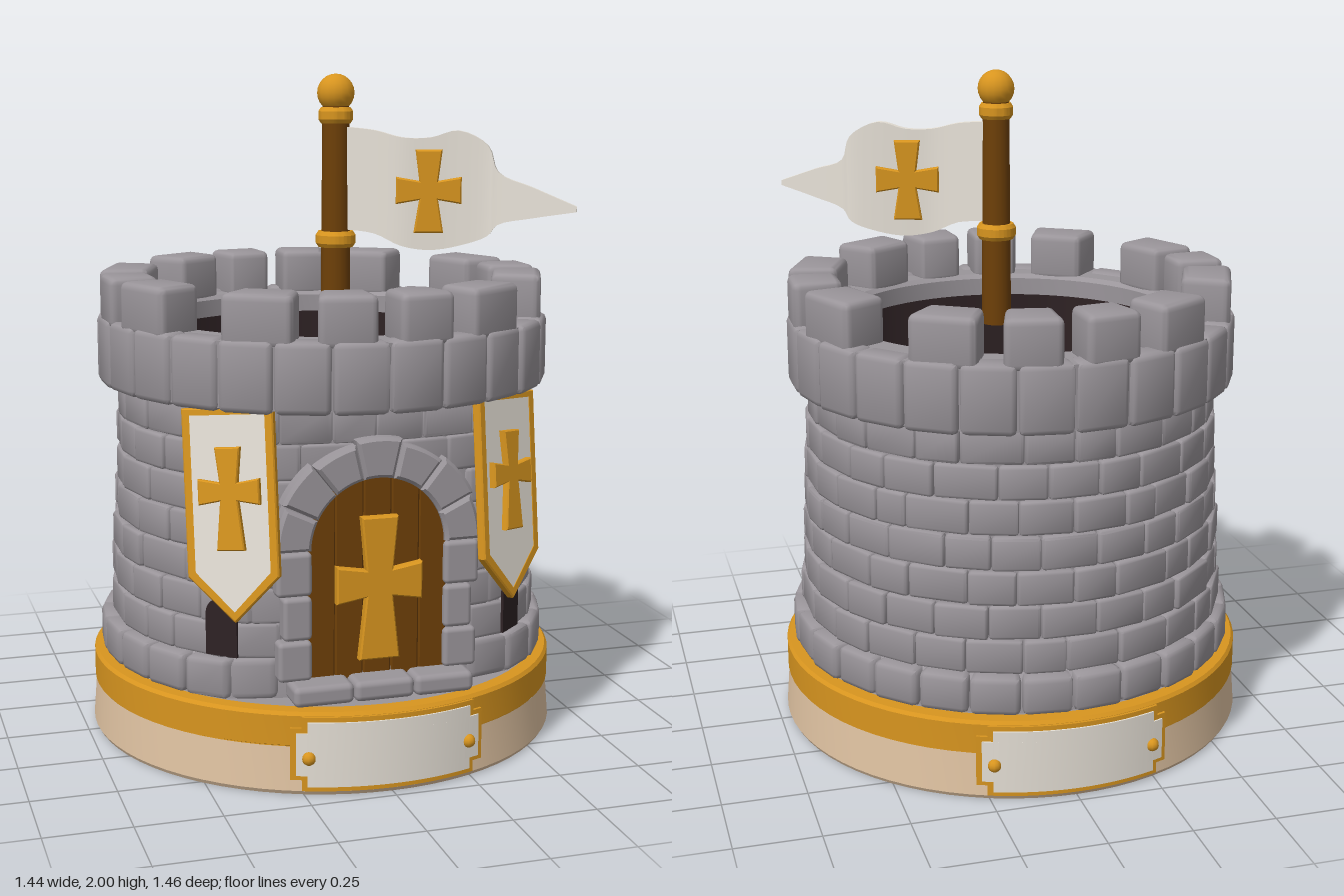
import * as THREE from 'three';
import { mergeGeometries, toCreasedNormals } from 'three/addons/utils/BufferGeometryUtils.js';
import { RoundedBoxGeometry } from 'three/addons/geometries/RoundedBoxGeometry.js';

const mat = (name, color, side = THREE.FrontSide) => {
  const m = new THREE.MeshStandardMaterial({ color, side });
  m.name = name;
  return m;
};
const V = (x, y, z) => new THREE.Vector3(x, y, z);

let seed = 7;
const rand = () => (seed = (seed * 16807) % 2147483647) / 2147483647;

// Apply a rule to every vertex
function warp(g, rule) {
  const p = g.attributes.position, v = V(0, 0, 0);
  for (let i = 0; i < p.count; i++) {
    rule(v.fromBufferAttribute(p, i));
    p.setXYZ(i, v.x, v.y, v.z);
  }
  return g;
}
// Wrap around the tower axis: local z = 0 lands on radius r, x runs along the arc
const bend = (g, r, a) => warp(g, v => {
  const t = a + v.x / r, R = r + v.z;
  v.set(Math.sin(t) * R, v.y, Math.cos(t) * R);
});
// Flatten the wall behind the doorway
const flatten = g => warp(g, v => { if (v.z > 0.5) v.z = 0.5 + (v.z - 0.5) * 0.4; });

// Rounded stone that follows the ring; r is its outer radius
function stone(w, y0, y1, d, r, a, round = 0.01, seg = 1) {
  const g = new RoundedBoxGeometry(w, y1 - y0, d, seg, round);
  g.deleteAttribute('uv');
  g.translate(0, (y0 + y1) / 2, -d / 2);
  return bend(g, r, a);
}
const soften = list => toCreasedNormals(mergeGeometries(list), 0.9);

const poly = points => new THREE.Shape(points.map(p => new THREE.Vector2(p[0], p[1])));
const slab = (shape, depth, bevel = 0.005) => new THREE.ExtrudeGeometry(shape, {
  depth, bevelEnabled: bevel > 0, bevelSize: bevel, bevelThickness: bevel, bevelOffset: -bevel, bevelSegments: 1, curveSegments: 12,
});
// Cross with flared arms, centred on the crossing
const crossShape = (w, up, down, n, f) => poly([
  [-f, up], [f, up], [n, n], [w, f], [w, -f], [n, -n],
  [f * 1.1, -down], [-f * 1.1, -down], [-n, -n], [-w, -f], [-w, f], [-n, n]]);

export function createModel() {
  const root = new THREE.Group();
  const stoneMat = mat('grey stone', 0x9a959a, THREE.DoubleSide);
  const gold = mat('gold', 0xd8951f, THREE.DoubleSide);
  const tan = mat('tan base', 0xe0c3a2);
  const cloth = mat('off white', 0xeae4da, THREE.DoubleSide);
  const wood = mat('brown wood', 0x6e4008);
  const dark = mat('dark interior', 0x2e2224, THREE.DoubleSide);
  const add = (name, g, m, parent = root) => {
    const mesh = new THREE.Mesh(g, m);
    mesh.name = name;
    parent.add(mesh);
    return mesh;
  };
  const lathe = pts => new THREE.LatheGeometry(pts.map(p => new THREE.Vector2(p[0], p[1])), 72);
  const creased = g => toCreasedNormals(g, 0.5);

  // Base ring
  add('baseRing', creased(lathe([[0.665, 0.03], [0.665, 0], [0.715, 0], [0.722, 0.012], [0.712, 0.14]])), tan);
  add('baseBand', creased(lathe([[0.705, 0.14], [0.716, 0.145], [0.716, 0.232], [0.708, 0.242], [0.66, 0.242]])), gold);
  add('baseInside', creased(lathe([[0.66, 0.242], [0.665, 0.03]])), gold);
  add('baseLedge', lathe([[0.67, 0.244], [0.55, 0.244]]), stoneMat);

  // Plaques on the front and back of the base
  for (const [side, a] of [['front', 0], ['back', Math.PI]]) {
    const plate = (r, grow, d) => mergeGeometries([[0.49, 0.19], [0.555, 0.125]].map(([w, h]) =>
      bend(new THREE.BoxGeometry(w + grow, h + grow, d, 14, 1, 1).translate(0, 0.122, 0), r, a)));
    const trim = plate(0.713, 0.028, 0.022), face = plate(0.72, 0, 0.018);
    for (const g of [trim, face]) g.computeVertexNormals();
    add(side + 'PlaqueTrim', trim, gold);
    add(side + 'Plaque', face, cloth);
    add(side + 'PlaqueLining', new THREE.CylinderGeometry(0.658, 0.658, 0.17, 12, 1, true, a - 0.4, 0.8).translate(0, 0.125, 0), cloth);
    for (const s of [-1, 1]) {
      const rivet = add(side + 'Rivet', new THREE.SphereGeometry(0.02, 10, 8), gold);
      const t = a + s * 0.335;
      rivet.position.set(Math.sin(t) * 0.728, 0.112, Math.cos(t) * 0.728);
    }
  }

  // Wall core and its inner lining
  const core = flatten(lathe([[0.58, 0.7], [0.585, 0.24], [0.665, 0.24], [0.655, 0.34], [0.635, 0.36], [0.603, 1.1]]));
  add('wallCore', creased(core), stoneMat);
  const lining = flatten(lathe([[0.575, 1.21], [0.58, 0.7]]));
  lining.computeVertexNormals();
  add('wallLining', lining, dark);

  // Wall stones in staggered courses
  const wall = [], courses = 7, perRing = 26;
  for (let c = 0; c < courses; c++) {
    const y0 = 0.36 + c * 0.103, r = 0.66 - c * 0.0055;
    const cuts = Array.from({ length: perRing }, (_, i) => (i + (c % 2) / 2 + (rand() - 0.5) * 0.35) * Math.PI * 2 / perRing);
    for (let i = 0; i < perRing; i++) {
      const a0 = cuts[i], a1 = i + 1 < perRing ? cuts[i + 1] : cuts[0] + Math.PI * 2;
      const mid = (a0 + a1) / 2, x = Math.abs(Math.sin(mid) * r);
      if (Math.cos(mid) > 0 && x < 0.24 && y0 < 0.84) continue; // doorway
      const R = r + (rand() - 0.5) * 0.01;
      wall.push(flatten(stone((a1 - a0) * R - 0.002, y0 + 0.001, y0 + 0.103, 0.036, R, mid)));
    }
  }
  add('wallStones', soften(wall), stoneMat);

  // Footing course
  const footing = [];
  for (let i = 0; i < 28; i++) {
    const a = (i + 0.5) * Math.PI * 2 / 28;
    if (Math.cos(a) > 0 && Math.abs(Math.sin(a)) < 0.38) continue;
    footing.push(flatten(stone(0.151, 0.245, 0.362, 0.1, 0.685 + rand() * 0.008, a, 0.018)));
  }
  add('footingStones', soften(footing), stoneMat);

  // Parapet: inner walkway ledge, outer stones and merlons
  add('parapetLedge', creased(lathe([[0.515, 1.265], [0.515, 1.21], [0.62, 1.2], [0.62, 1.09], [0.67, 1.09], [0.67, 1.278], [0.53, 1.278], [0.515, 1.265]])), stoneMat);
  const parapet = [];
  for (let i = 0; i < 26; i++) {
    const r = 0.682 + rand() * 0.008;
    parapet.push(stone(2 * Math.PI * r / 26 - 0.003, 1.08, 1.284, 0.09, r, (i + 0.5) * Math.PI * 2 / 26, 0.018));
  }
  add('parapetStones', soften(parapet), stoneMat);
  const merlons = [];
  for (const [deg, w] of [[10, 0.172], [32, 0.205], [68, 0.235], [91.5, 0.16], [113, 0.22], [148, 0.215], [170, 0.172]])
    for (const s of [-1, 1])
      merlons.push(stone(w, 1.26, 1.412, 0.15, 0.677, Math.PI - s * deg * Math.PI / 180, 0.022, 2));
  add('merlons', soften(merlons), stoneMat);

  // Door planks
  const spring = 0.68, door = new THREE.Group();
  door.name = 'door';
  root.add(door);
  for (let i = 0; i < 5; i++) {
    const x0 = -0.21 + i * 0.084, pts = [[x0 + 0.084, 0.29], [x0, 0.29]];
    for (let k = 0; k <= 4; k++) {
      const x = x0 + k * 0.021;
      pts.push([x, spring + Math.sqrt(Math.max(0, 0.0441 - x * x))]);
    }
    add('doorPlank', slab(poly(pts), 0.018, 0.005).translate(0, 0, 0.544), wood, door);
  }
  add('doorCross', slab(crossShape(0.128, 0.195, 0.225, 0.04, 0.055), 0.024).translate(0, 0.575, 0.565), gold, door);

  // Door arch, jambs and step
  const arch = new THREE.Group();
  arch.name = 'doorway';
  root.add(arch);
  const n = 7;
  for (let i = 0; i < n; i++) {
    const a0 = i * Math.PI / n + 0.006, a1 = (i + 1) * Math.PI / n - 0.006, r1 = 0.305 + (i % 2) * 0.012;
    const s = new THREE.Shape();
    s.absarc(0, 0, r1, a0, a1, false);
    s.absarc(0, 0, 0.2, a1, a0, true);
    add('archStone', slab(s, 0.04, 0.01).translate(0, spring, 0.538), stoneMat, arch);
  }
  for (const s of [-1, 1])
    [[0.3, 0.42, 0.1], [0.42, 0.55, 0.085], [0.55, 0.68, 0.105]].forEach(([y0, y1, w]) =>
      add('jambStone', new RoundedBoxGeometry(w, y1 - y0 - 0.003, 0.06, 2, 0.014)
        .translate(s * (0.198 + w / 2), (y0 + y1) / 2, 0.558), stoneMat, arch));
  for (const x of [-0.18, 0, 0.18])
    add('stepStone', new RoundedBoxGeometry(0.178, 0.06, 0.11, 2, 0.018).translate(x, 0.275, 0.595), stoneMat, arch);

  // Windows and hanging banners, mirrored
  const win = new THREE.Shape();
  win.moveTo(-0.05, 0.37);
  win.lineTo(0.05, 0.37);
  win.lineTo(0.05, 0.49);
  win.absarc(0, 0.49, 0.05, 0, Math.PI, false);
  const outline = (w, top, low, tip) => poly([[-w, top], [w, top], [w, low], [0, tip], [-w, low]]);
  for (const s of [-1, 1]) {
    const side = s > 0 ? 'left' : 'right', a = s * 0.73;
    const window = add(side + 'Window', slab(win, 0.008, 0), dark);
    window.rotation.y = a;
    window.position.set(Math.sin(a) * 0.656, 0, Math.cos(a) * 0.656);
    // Dark niche inside the wall behind the window
    add(side + 'Niche', new THREE.CylinderGeometry(0.57, 0.57, 0.34, 4, 1, true, a - 0.09, 0.18).translate(0, 0.54, 0), dark);

    const banner = new THREE.Group();
    banner.name = side + 'Banner';
    banner.rotation.set(-0.14, s * 0.55, 0);
    banner.position.set(s * 0.408, 1.085, 0.468);
    root.add(banner);
    const frame = outline(0.134, 0, -0.475, -0.605);
    frame.holes.push(outline(0.114, -0.016, -0.464, -0.58));
    add('bannerTrim', slab(frame, 0.02, 0.004), gold, banner);
    add('bannerCloth', slab(outline(0.118, -0.01, -0.467, -0.588), 0.01, 0).translate(0, 0, 0.008), cloth, banner);
    add('bannerBack', slab(outline(0.132, -0.002, -0.474, -0.602), 0.004, 0), gold, banner);
    add('bannerCross', slab(crossShape(0.09, 0.125, 0.165, 0.026, 0.037), 0.018, 0.004).translate(0, -0.235, 0.016), gold, banner);
  }

  // Flagpole
  const pole = new THREE.Group();
  pole.name = 'flagpole';
  pole.position.set(0.02, 0, 0.088);
  root.add(pole);
  add('poleShaft', new THREE.CylinderGeometry(0.04, 0.046, 0.7, 16).translate(0, 1.57, 0), wood, pole);
  add('poleBall', new THREE.SphereGeometry(0.056, 16, 12).translate(0, 1.944, 0), gold, pole);
  for (const [y, r] of [[1.878, 0.052], [1.51, 0.06]])
    add('poleCollar', creased(lathe([[0.03, y - 0.024], [r - 0.008, y - 0.024], [r, y - 0.012], [r, y + 0.012], [r - 0.008, y + 0.024], [0.03, y + 0.024]])), gold, pole);

  // Waving flag swept between its top and bottom edges
  const path = [ // x, z, bottom, top
    [0.04, 0.1, 1.54, 1.845], [0.12, 0.16, 1.53, 1.835], [0.19, 0.205, 1.495, 1.815], [0.27, 0.23, 1.483, 1.815],
    [0.35, 0.255, 1.495, 1.835], [0.43, 0.29, 1.525, 1.79], [0.45, 0.32, 1.56, 1.715], [0.52, 0.41, 1.585, 1.675], [0.61, 0.525, 1.61, 1.625]];
  const low = new THREE.CatmullRomCurve3(path.map(p => V(p[0], p[2], p[1])));
  const top = new THREE.CatmullRomCurve3(path.map(p => V(p[0], p[3], p[1])));
  const flag = warp(new THREE.BoxGeometry(1, 1, 0.022, 32, 4, 1), v => {
    const t = Math.min(1, Math.max(0, v.x + 0.5)), z = v.z;
    v.copy(low.getPoint(t).lerp(top.getPoint(t), v.y + 0.5));
    v.z += z;
    v.x -= z * 0.5;
  });
  flag.computeVertexNormals();
  add('flag', flag, cloth);
  const flagCross = add('flagCross', slab(crossShape(0.097, 0.12, 0.125, 0.028, 0.04), 0.045).translate(0, 0, -0.0225), gold);
  flagCross.position.set(0.265, 1.66, 0.228);
  flagCross.rotation.y = -0.3;

  return root;
}
